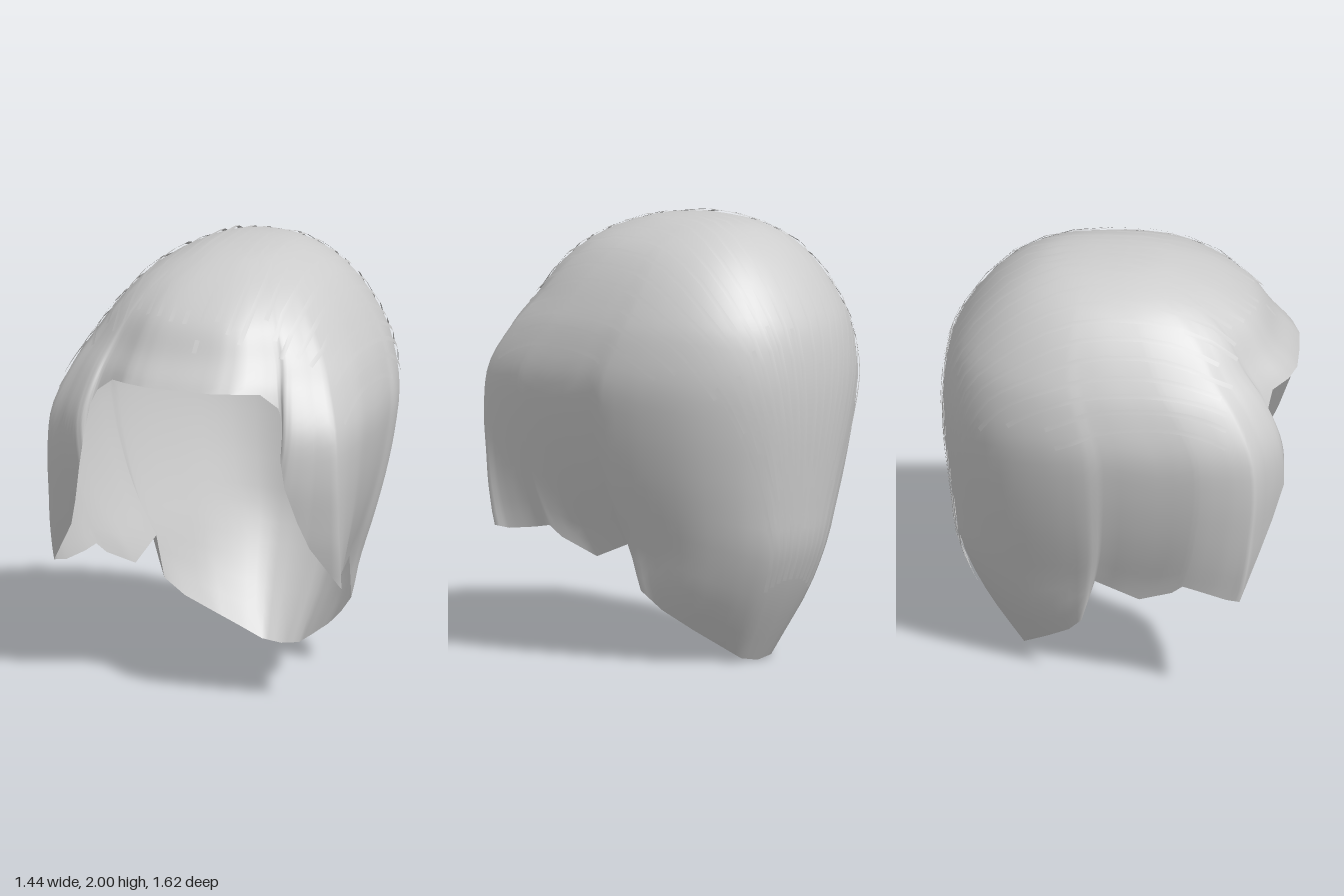
import * as THREE from 'three';
import { mergeVertices } from 'three/addons/utils/BufferGeometryUtils.js';

const hairGrey = new THREE.MeshStandardMaterial({ color: 0xcccccc, side: THREE.DoubleSide });
hairGrey.name = 'hair grey';

// Horizontal sections from the crown down: y, half width, z of widest point, front z, back z
const RINGS = [
  [1.99, 0, -0.1, -0.1, -0.1], [1.985, 0.1, -0.08, 0.06, -0.22], [1.96, 0.22, -0.05, 0.23, -0.36],
  [1.88, 0.38, 0, 0.44, -0.5], [1.76, 0.5, 0.03, 0.61, -0.62], [1.61, 0.6, 0.08, 0.71, -0.72],
  [1.48, 0.665, 0.15, 0.81, -0.77], [1.3, 0.715, 0.23, 0.88, -0.795], [1.1, 0.7, 0.23, 0.89, -0.79],
  [0.9, 0.66, 0.2, 0.86, -0.77], [0.72, 0.61, 0.16, 0.82, -0.75], [0.52, 0.54, 0.08, 0.75, -0.72],
  [0.28, 0.47, -0.08, 0.5, -0.61], [0, 0.3, -0.3, 0, -0.44],
];
// Hem of the left half, front to nape: azimuth in degrees, x, y, z
const HEM = [
  [0, 0, 1.49, 0.81], [14, 0.16, 1.49, 0.805], [24, 0.27, 1.49, 0.77], [31, 0.36, 1.48, 0.7],
  [36, 0.44, 1.42, 0.68], [39, 0.47, 1.35, 0.7], [43, 0.48, 1.2, 0.755], [47, 0.5, 1.07, 0.755],
  [51, 0.54, 0.9, 0.7], [55, 0.58, 0.77, 0.65], [60, 0.7, 0.57, 0.56], [65, 0.665, 0.56, 0.5],
  [74, 0.62, 0.575, 0.38], [81, 0.6, 0.59, 0.3], [84, 0.57, 0.54, 0.25], [93, 0.49, 0.46, 0.1],
  [104, 0.47, 0.54, -0.1], [110, 0.455, 0.33, -0.16], [122, 0.38, 0.24, -0.22],
  [138, 0.28, 0.15, -0.32], [154, 0.17, 0.07, -0.39], [167, 0.09, 0.015, -0.43], [180, 0, 0, -0.44],
];

const N = RINGS.length - 1;
const spline = (pick) => new THREE.CatmullRomCurve3(
  RINGS.map((r) => new THREE.Vector3(...pick(r))), false, 'catmullrom', 0.5);
const upper = spline((r) => [r[0], r[1], r[2]]);
const depth = spline((r) => [r[3], r[4], 0]);

// Point on the plain head form at azimuth th (radians, 0..PI) and ring position s
function form(th, s) {
  const k = THREE.MathUtils.clamp(s / N, 0, 1);
  const u = upper.getPoint(k), d = depth.getPoint(k);
  const c = Math.cos(th), pow = (v) => Math.pow(Math.max(0, v), 0.85);
  const reach = c >= 0 ? d.x - u.z : d.y - u.z;
  return new THREE.Vector3(u.y * pow(Math.sin(th)), u.x, u.z + reach * pow(Math.abs(c)));
}

// Ring position at height y
function ringAt(y) {
  let lo = 0, hi = N;
  for (let i = 0; i < 30; i++) {
    const m = (lo + hi) / 2;
    if (upper.getPoint(m / N).x > y) lo = m; else hi = m;
  }
  return lo;
}

// Hem point, its ring position and its offset from the plain form
function hemAt(th) {
  const deg = THREE.MathUtils.radToDeg(th);
  let i = 0;
  while (i < HEM.length - 2 && deg > HEM[i + 1][0]) i++;
  const f = (deg - HEM[i][0]) / (HEM[i + 1][0] - HEM[i][0]);
  const v = (n) => THREE.MathUtils.lerp(HEM[i][n], HEM[i + 1][n], f);
  const s = ringAt(v(2));
  return { s, offset: new THREE.Vector3(v(1), v(2), v(3)).sub(form(th, s)) };
}

// Finished surface, eased towards the hem
function surface(th, t, hem) {
  return form(th, t * hem.s).addScaledVector(hem.offset, t * t * t);
}

function shellGeometry() {
  const half = [];
  for (let i = 0; i < HEM.length - 1; i++)
    for (let k = 0; k < 3; k++) half.push(HEM[i][0] + (HEM[i + 1][0] - HEM[i][0]) * k / 3);
  half.push(180);
  const angles = [...half.slice(1).reverse().map((a) => -a), ...half];
  const rows = 36, pos = [], idx = [];
  angles.forEach((a, i) => {
    const th = THREE.MathUtils.degToRad(Math.abs(a)), hem = hemAt(th);
    for (let j = 0; j <= rows; j++) {
      const p = surface(th, j / rows, hem);
      const x = Math.abs(a) === 180 ? 0 : p.x * Math.sign(a);
      pos.push(x, p.y, p.z);
      if (i < angles.length - 1 && j < rows) {
        const q = i * (rows + 1) + j, r = q + rows + 1;
        idx.push(q, q + 1, r, r, q + 1, r + 1);
      }
    }
  });
  let g = new THREE.BufferGeometry();
  g.setAttribute('position', new THREE.Float32BufferAttribute(pos, 3));
  g.setIndex(idx);
  g = mergeVertices(g, 1e-4);
  g.computeVertexNormals();
  return g;
}

// Surface point from flat crown-centred coordinates, used to lay strands
function chart(X, Z) {
  const th = Math.abs(Math.atan2(X, Z)), hem = hemAt(th);
  const p = surface(th, Math.min(Math.hypot(X, Z) / hem.s, 0.97), hem);
  if (X < 0) p.x *= -1;
  return p;
}

// Narrow ribbon combed from front to back, converging at the nape
function strandGeometry(lane, z0, z1, width, lift) {
  const steps = 14, pos = [], idx = [];
  const at = (k) => {
    const Z = THREE.MathUtils.lerp(z0, z1, k);
    return [lane * (1 - 0.5 * THREE.MathUtils.smoothstep(-Z, 2, 12)), Z];
  };
  for (let i = 0; i <= steps; i++) {
    const k = i / steps, [X, Z] = at(k), p = chart(X, Z);
    const along = chart(...at(k + 0.01)).sub(chart(...at(k - 0.01))).normalize();
    const across = chart(X + 0.1, Z).sub(chart(X - 0.1, Z));
    const normal = along.clone().cross(across).normalize();
    if (normal.dot(new THREE.Vector3(p.x, p.y - 1.1, p.z)) < 0) normal.negate();
    const side = normal.clone().cross(along).setLength(width / 2);
    p.addScaledVector(normal, lift);
    pos.push(...p.clone().add(side).toArray(), ...p.clone().sub(side).toArray());
    if (i < steps) idx.push(2 * i, 2 * i + 2, 2 * i + 1, 2 * i + 1, 2 * i + 2, 2 * i + 3);
  }
  const g = new THREE.BufferGeometry();
  g.setAttribute('position', new THREE.Float32BufferAttribute(pos, 3));
  g.setIndex(idx);
  g.computeVertexNormals();
  return g;
}

export function createModel() {
  const model = new THREE.Group();
  model.name = 'hair';
  const add = (geometry, name) => {
    const m = new THREE.Mesh(geometry, hairGrey);
    m.name = name;
    model.add(m);
  };
  add(shellGeometry(), 'hairShell');

  let seed = 7;
  const rand = () => (seed = (seed * 16807) % 2147483647) / 2147483647;

  // Long strands over the crown, shorter ones swept back along the sides
  for (let i = 0; i < 13; i++) {
    const lane = 0.25 + i * 0.5, outer = i / 12;
    for (const s of [1, -1]) {
      const front = THREE.MathUtils.lerp(4.8, 2.8, outer) - rand();
      const back = THREE.MathUtils.lerp(-11.5, -3.5, outer * outer) + rand() * 2;
      add(strandGeometry(s * lane, front, back, 0.022, 0.006 + rand() * 0.006), 'longStrand');
      if (i % 2 === 0 && i < 10)
        add(strandGeometry(s * (lane + 0.25), -5 - rand() * 2, -11.5, 0.02, 0.014), 'napeStrand');
    }
  }
  return model;
}
